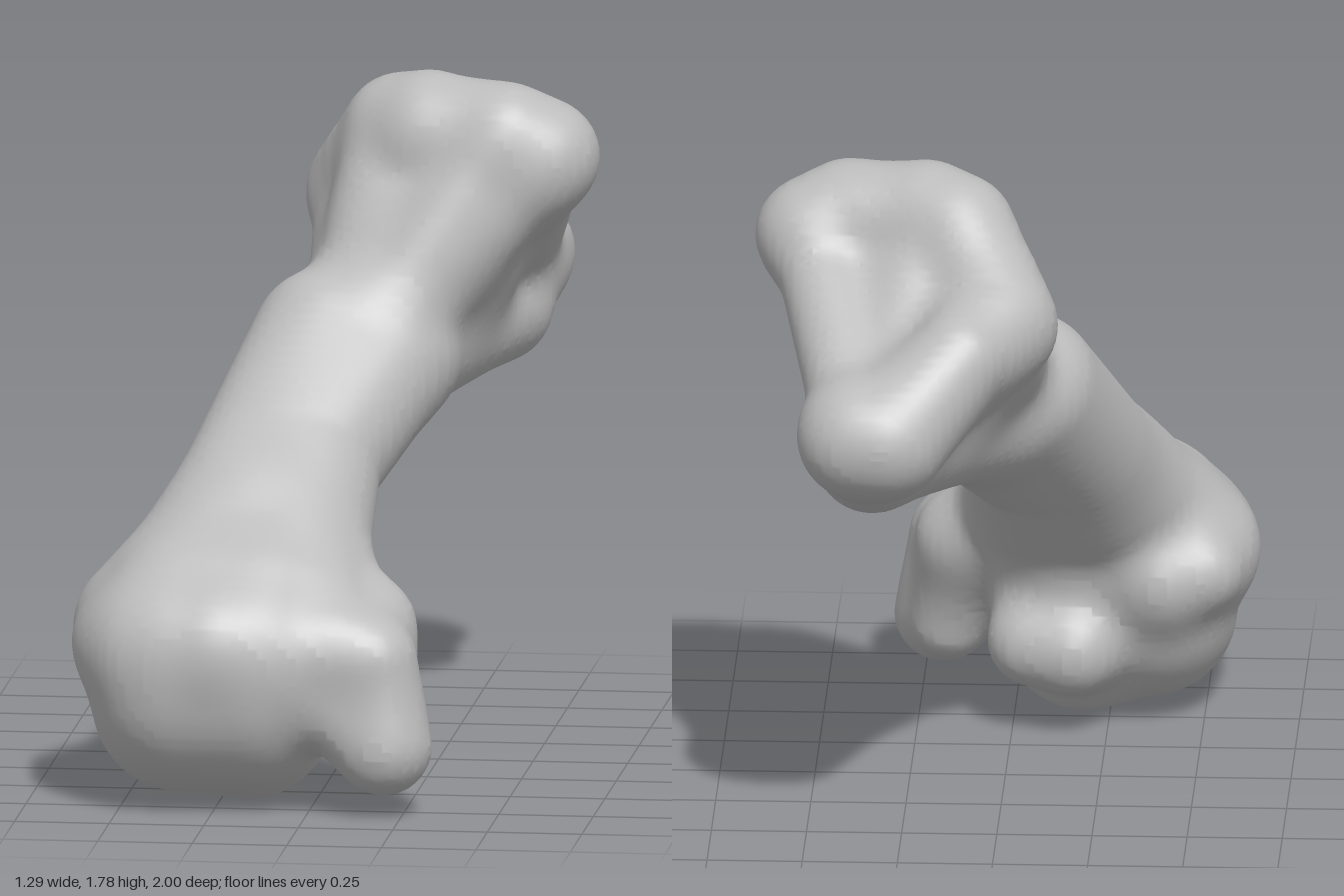
import * as THREE from 'three';

// Each mass has a distance function and a blend width k.
// Tapered limb through points [x, y, z, radius]
const limb = (points, k = 0.06) => ({
  k,
  dist(x, y, z) {
    let best = 10;
    for (let i = 1; i < points.length; i++) {
      const a = points[i - 1], b = points[i];
      const ux = b[0] - a[0], uy = b[1] - a[1], uz = b[2] - a[2];
      const px = x - a[0], py = y - a[1], pz = z - a[2];
      const h = Math.min(1, Math.max(0, (px * ux + py * uy + pz * uz) / (ux * ux + uy * uy + uz * uz)));
      const r = a[3] + (b[3] - a[3]) * h;
      best = Math.min(best, Math.hypot(px - h * ux, py - h * uy, pz - h * uz) - r);
    }
    return best;
  },
});

const ball = (c, r, k = 0.06) => ({
  k,
  dist: (x, y, z) => Math.hypot(x - c[0], y - c[1], z - c[2]) - r,
});

// Padded triangle
const probe = new THREE.Vector3();
const nearest = new THREE.Vector3();
const web = (a, b, c, r, k = 0.08) => {
  const triangle = new THREE.Triangle(...[a, b, c].map((p) => new THREE.Vector3(p[0], p[1], p[2])));
  return {
    k,
    dist(x, y, z) {
      triangle.closestPointToPoint(probe.set(x, y, z), nearest);
      return probe.distanceTo(nearest) - r;
    },
  };
};

// Cylinder along x with rounded rims
const roller = (c, radius, half, round, k = 0.06) => ({
  k,
  dist(x, y, z) {
    const r = Math.hypot(y - c[1], z - c[2]) - radius + round;
    const l = Math.abs(x - c[0]) - half + round;
    return Math.min(Math.max(r, l), 0) + Math.hypot(Math.max(r, 0), Math.max(l, 0)) - round;
  },
});

// Landmarks [x, y, z, radius] around the upper joint plate
const flare = [0.03, 1.08, -0.06, 0.17];
const rightCorner = [0.5, 1.57, -0.25, 0.125];
const frontCrest = [0.4, 1.61, -0.23, 0.125];
const topCrest = [0.2, 1.655, -0.29, 0.115];
const leftCrest = [0.11, 1.61, -0.34, 0.12];
const leftRim = [0.03, 1.51, -0.45, 0.13];
const sideCorner = [0, 1.42, -0.53, 0.14];
const backSide = [0.09, 1.38, -0.71, 0.125];
const backTip = [0.27, 1.2, -0.85, 0.14];
const backTipOuter = [0.35, 1.2, -0.83, 0.14];
const keel = [0.32, 1.09, -0.65, 0.14];
const sunk = (p) => [p[0] - 0.014, p[1] - 0.04, p[2] + 0.043];

const masses = [
  // shaft, a little wider than deep
  limb([[-0.05, 1.09, -0.06, 0.2], [-0.175, 0.83, 0.22, 0.195], [-0.28, 0.5, 0.6, 0.24]]),
  limb([[0.09, 1.06, -0.08, 0.2], [-0.065, 0.83, 0.22, 0.19], [-0.12, 0.5, 0.6, 0.24]]),
  // flare from the shaft up to the plate
  web(flare, frontCrest, leftCrest, 0.125),
  web(flare, rightCorner, frontCrest, 0.12),
  web(flare, rightCorner, backTipOuter, 0.095),
  web(flare, leftCrest, sideCorner, 0.12),
  web(flare, sideCorner, keel, 0.11),
  web(sideCorner, backTip, keel, 0.1),
  limb([[0.07, 1.03, -0.1, 0.17], keel, backTipOuter], 0.08),
  ball([0.18, 1.29, -0.34], 0.24, 0.1),
  // shallow hollow of the plate and its raised rim
  web(sunk(rightCorner), sunk(topCrest), sunk(backTipOuter), 0.1),
  web(sunk(topCrest), sunk(sideCorner), sunk(backTip), 0.1),
  limb([rightCorner, frontCrest, topCrest, leftCrest, leftRim, sideCorner, backSide, backTip, backTipOuter], 0.07),
  // large rolling joint at the lower end, with its front crest
  roller([-0.26, 0.36, 0.645], 0.335, 0.32, 0.23, 0.08),
  limb([[-0.43, 0.44, 0.8, 0.135], [-0.24, 0.45, 0.85, 0.135], [-0.06, 0.43, 0.8, 0.13]], 0.08),
  ball([-0.18, 0.17, 0.57], 0.165, 0.08),
  // flank ridge and rear bumps
  limb([[-0.2, 0.7, 0.4, 0.17], [-0.5, 0.47, 0.55, 0.12]], 0.1),
  limb([[-0.4, 0.42, 0.36, 0.11], [-0.5, 0.44, 0.38, 0.1], [-0.505, 0.42, 0.7, 0.115]], 0.1),
  limb([[-0.16, 0.23, 0.375, 0.13], [-0.06, 0.24, 0.4, 0.125]], 0.06),
  // side fin beside the joint
  web([-0.08, 0.68, 0.45], [0.13, 0.46, 0.6], [0.08, 0.45, 0.78], 0.115),
  web([0.13, 0.46, 0.59], [0.17, 0.4, 0.79], [0.2, 0.18, 0.8], 0.095),
  web([0.13, 0.46, 0.59], [0.2, 0.18, 0.8], [0.18, 0.2, 0.66], 0.095),
  web([-0.1, 0.4, 0.81], [0.17, 0.4, 0.79], [0.2, 0.18, 0.8], 0.1),
];

// Blend all masses into one smooth body
function field(x, y, z) {
  let d = 10;
  for (const m of masses) {
    const e = m.dist(x, y, z);
    const h = Math.max(m.k - Math.abs(d - e), 0);
    d = Math.min(d, e) - (h * h) / (4 * m.k);
  }
  return d;
}

// Skin the blended body with quads on a regular grid
function skin(min, max, step) {
  const n = min.map((v, i) => Math.ceil((max[i] - v) / step) + 1);
  const stride = [1, n[0], n[0] * n[1]];
  const total = n[0] * n[1] * n[2];
  const values = new Float32Array(total);
  const ids = new Int32Array(total).fill(-1);
  const positions = [], index = [];
  const each = (from, fn) => {
    for (let k = from; k < n[2] - 1; k++)
      for (let j = from; j < n[1] - 1; j++)
        for (let i = from; i < n[0] - 1; i++) fn(i, j, k, i + j * stride[1] + k * stride[2]);
  };
  for (let k = 0, q = 0; k < n[2]; k++)
    for (let j = 0; j < n[1]; j++)
      for (let i = 0; i < n[0]; i++, q++)
        values[q] = field(min[0] + i * step, min[1] + j * step, min[2] + k * step);

  // one vertex per crossed cell, slid onto the surface
  each(0, (i, j, k, q) => {
    let inside = 0;
    for (let c = 0; c < 8; c++)
      if (values[q + (c & 1) + ((c >> 1) & 1) * stride[1] + (c >> 2) * stride[2]] < 0) inside++;
    if (inside === 0 || inside === 8) return;
    let p = [i, j, k].map((v, a) => min[a] + (v + 0.5) * step);
    for (let s = 0; s < 3; s++) {
      const [x, y, z] = p, e = 0.004, d = field(x, y, z);
      const g = [
        field(x + e, y, z) - field(x - e, y, z),
        field(x, y + e, z) - field(x, y - e, z),
        field(x, y, z + e) - field(x, y, z - e),
      ];
      const len = Math.hypot(...g) || 1;
      p = p.map((v, a) => v - (g[a] / len) * d);
    }
    ids[q] = positions.length / 3;
    positions.push(...p);
  });

  // one quad around every crossed grid edge
  each(1, (i, j, k, q) => {
    for (let a = 0; a < 3; a++) {
      const here = values[q] < 0, next = values[q + stride[a]] < 0;
      if (here === next) continue;
      const b = stride[(a + 1) % 3], c = stride[(a + 2) % 3];
      const quad = [ids[q - b - c], ids[q - c], ids[q], ids[q - b]];
      if (next) quad.reverse();
      index.push(quad[0], quad[1], quad[2], quad[0], quad[2], quad[3]);
    }
  });

  const geometry = new THREE.BufferGeometry();
  geometry.setAttribute('position', new THREE.Float32BufferAttribute(positions, 3));
  geometry.setIndex(index);
  geometry.computeVertexNormals();
  return geometry;
}

export function createModel() {
  const boneGrey = new THREE.MeshStandardMaterial({ color: 0xbcbcbc });
  boneGrey.name = 'bone grey';
  const bone = new THREE.Mesh(skin([-0.8, -0.15, -1.15], [0.8, 1.95, 1.15], 0.025), boneGrey);
  bone.name = 'bone';

  const model = new THREE.Group();
  model.name = 'limbBone';
  model.add(bone);
  return model;
}
